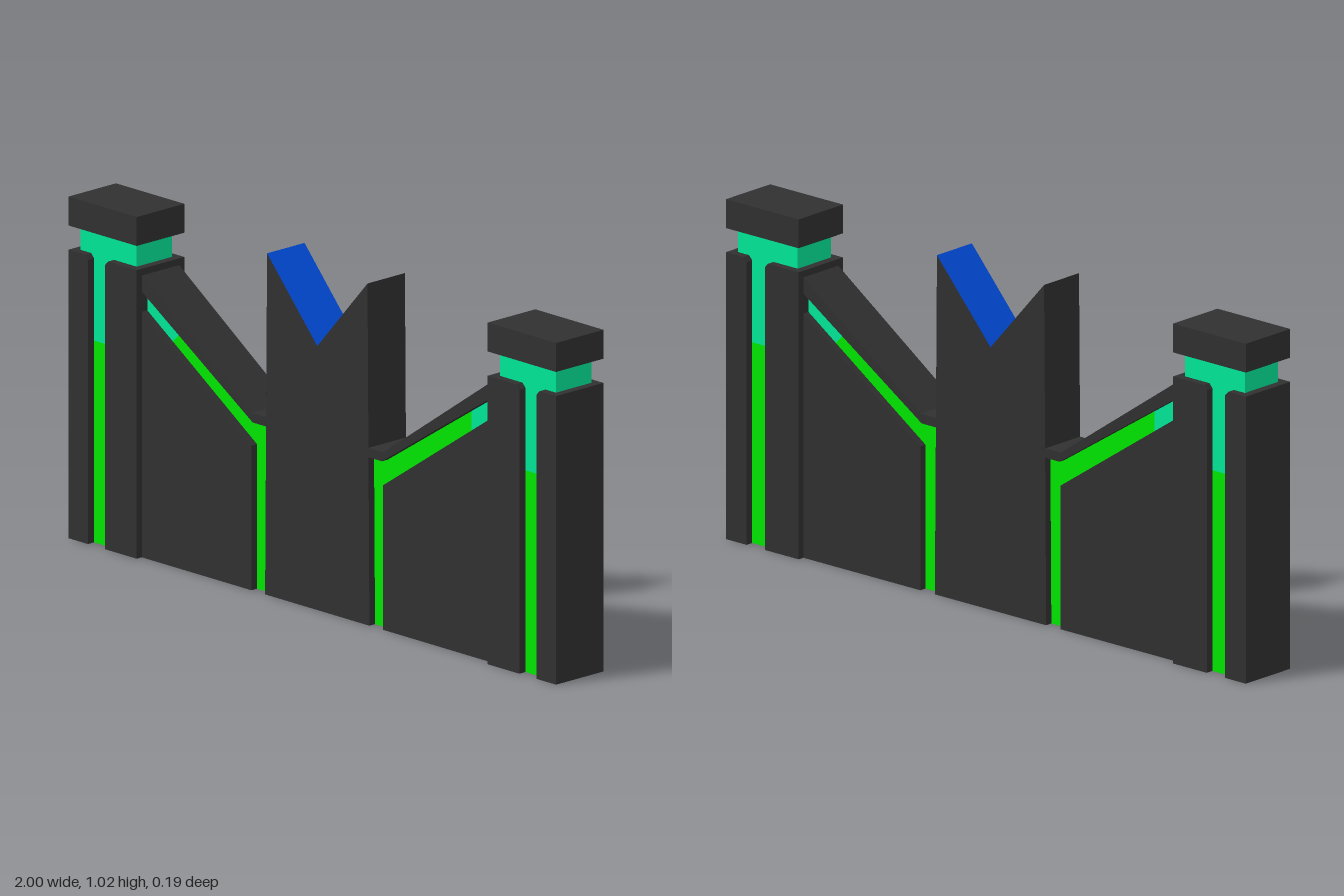
import * as THREE from 'three';

const mat = (name, color) => {
  const m = new THREE.MeshStandardMaterial({ color, side: THREE.DoubleSide });
  m.name = name;
  return m;
};

export function createModel() {
  const dark = mat('charcoal', 0x303030);
  const green = mat('bright green', 0x00e800);
  const teal = mat('teal', 0x00e898);
  const blue = mat('blue', 0x004ddc);

  const model = new THREE.Group();
  model.name = 'gate';

  const add = (parent, name, geometry, material) => {
    const mesh = new THREE.Mesh(geometry, material);
    mesh.name = name;
    parent.add(mesh);
    return mesh;
  };

  // Flat polygon in the xy plane, placed at depth z
  const face = (parent, name, pts, z, material) => {
    const shape = new THREE.Shape(pts.map(([x, y]) => new THREE.Vector2(x, y)));
    const g = new THREE.ShapeGeometry(shape);
    if (z < 0) g.scale(-1, 1, 1).rotateY(Math.PI); // turn the back outward
    add(parent, name, g.translate(0, 0, z), material);
  };

  // Flat-shaded strip that sweeps an xy polyline from depth z0 to z1
  const ribbon = (parent, name, pts, z0, z1, material) => {
    const v = [];
    for (let i = 0; i < pts.length - 1; i++) {
      const [ax, ay] = pts[i], [bx, by] = pts[i + 1];
      v.push(ax, ay, z0, bx, by, z0, bx, by, z1, ax, ay, z0, bx, by, z1, ax, ay, z1);
    }
    const g = new THREE.BufferGeometry();
    g.setAttribute('position', new THREE.Float32BufferAttribute(v, 3));
    g.computeVertexNormals();
    add(parent, name, g, material);
  };

  const pillarZ = 0.094, neckZ = 0.07, wallZ = 0.074, grooveZ = 0.052;

  // Centre column with a V notch, open underneath and joined to the walls
  const column = new THREE.Group();
  column.name = 'centreColumn';
  model.add(column);
  const notch = [[-0.206, 1.016], [0, 0.785], [0.206, 1.016]];
  for (const z of [-wallZ, wallZ]) {
    face(column, 'columnFace', [[-0.214, 0], [0.214, 0], ...[...notch].reverse()], z, dark);
  }
  ribbon(column, 'columnNotch', notch, -wallZ, wallZ, blue);
  for (const s of [-1, 1]) {
    const joint = [s * 0.21, 0.52];
    ribbon(column, 'columnSide', [joint, [s * 0.206, 1.016]], -wallZ, wallZ, dark);
    for (const d of [-1, 1]) {
      ribbon(column, 'columnGrooveWall', [[s * 0.214, 0], joint], d * grooveZ, d * wallZ, dark);
    }
  }

  for (const s of [-1, 1]) {
    const side = s > 0 ? 'left' : 'right';
    const at = (pts) => pts.map(([x, y]) => [s * x, y]);

    // Pillar: two uprights beside a lit groove
    const pillar = new THREE.Group();
    pillar.name = side + 'Pillar';
    model.add(pillar);
    const uprights = [
      [[1, 0], [1, 0.858], [0.932, 0.858], [0.92, 0.845], [0.92, 0]],
      [[0.72, 0], [0.72, 0.858], [0.838, 0.858], [0.85, 0.845], [0.85, 0]],
    ].map(at);
    for (const u of uprights) {
      ribbon(pillar, 'uprightShell', u.slice(0, 4), -pillarZ, pillarZ, dark);
      for (const d of [-1, 1]) {
        face(pillar, 'uprightFace', u, d * pillarZ, dark);
        ribbon(pillar, 'grooveWall', u.slice(3), d * neckZ, d * pillarZ, dark);
      }
    }
    for (const d of [-1, 1]) {
      face(pillar, 'grooveLower', at([[0.85, 0], [0.92, 0], [0.92, 0.6], [0.85, 0.6]]), d * neckZ, green);
      face(pillar, 'grooveUpper', at([[0.85, 0.6], [0.92, 0.6], [0.92, 0.845], [0.85, 0.845]]), d * neckZ, teal);
      face(pillar, 'neckFace', at([[0.745, 0.845], [0.975, 0.845], [0.975, 0.93], [0.745, 0.93]]), d * neckZ, teal);
    }
    for (const x of [0.745, 0.975]) {
      ribbon(pillar, 'neckSide', at([[x, 0.858], [x, 0.93]]), -neckZ, neckZ, teal);
    }
    const cap = add(pillar, 'cap', new THREE.BoxGeometry(0.28, 0.086, 2 * pillarZ), dark);
    cap.position.set(s * 0.86, 0.973, 0);

    // Sloping wall with a lit groove below its rim
    const wall = new THREE.Group();
    wall.name = side + 'Wall';
    model.add(wall);
    const top = at([[0.72, 0.838], [0.27, 0.528], [0.21, 0.528]]);
    const upper = at([[0.72, 0.79], [0.265, 0.5], [0.21, 0.5]]);
    const lower = at([[0.72, 0.73], [0.27, 0.43], [0.27, 0]]);
    ribbon(wall, 'wallTop', top, -wallZ, wallZ, dark);
    for (const d of [-1, 1]) {
      face(wall, 'wallRim', [...top, ...[...upper].reverse()], d * wallZ, dark);
      face(wall, 'wallPanel', [...lower, [s * 0.72, 0]], d * wallZ, dark);
      ribbon(wall, 'grooveTopWall', upper, d * grooveZ, d * wallZ, dark);
      ribbon(wall, 'grooveBottomWall', lower, d * grooveZ, d * wallZ, dark);
      // Colour change runs slanted on one face and upright on the other
      const [c0, c1] = at(s * d < 0 ? [[0.575, 0.698], [0.615, 0.66]] : [[0.61, 0.72], [0.61, 0.657]]);
      face(wall, 'wallGrooveUpper', [upper[0], c0, c1, lower[0]], d * grooveZ, teal);
      face(wall, 'wallGrooveLower',
        [c0, upper[1], upper[2], [s * 0.214, 0], lower[2], lower[1], c1], d * grooveZ, green);
    }
  }
  return model;
}
